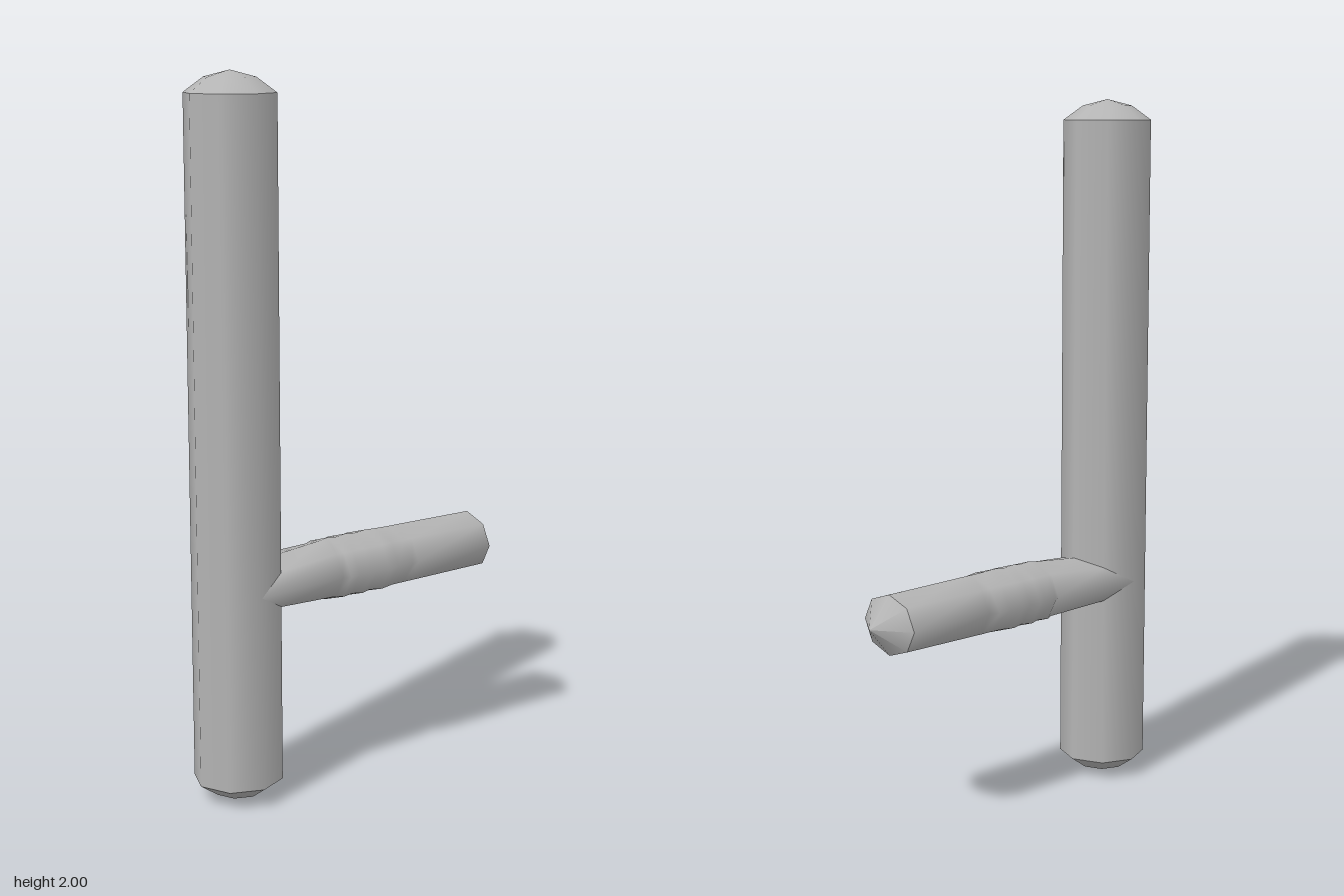
import * as THREE from 'three';

const SIDES = 8;
const SHAFT_X = -0.39;
const HANDLE_Y = 0.607;

// Skin eight-sided rings of [x, y, z] points running along +x
function loft(rings) {
  const index = [];
  for (let i = 0; i < rings.length - 1; i++) {
    for (let j = 0; j < SIDES; j++) {
      const a = i * SIDES + j, b = i * SIDES + (j + 1) % SIDES;
      index.push(a, b, a + SIDES, b, b + SIDES, a + SIDES);
    }
  }
  const geometry = new THREE.BufferGeometry();
  geometry.setAttribute('position', new THREE.Float32BufferAttribute(rings.flat(2), 3));
  geometry.setIndex(index);
  geometry.computeVertexNormals();
  return geometry;
}

// Octagonal ring; side is the reach of its two outermost z corners
function ring(x, height, depth, side = depth) {
  return Array.from({ length: SIDES }, (_, j) => {
    const a = j * Math.PI * 2 / SIDES;
    return [x, Math.cos(a) * height, Math.sin(a) * (j % 4 === 2 ? side : depth)];
  });
}

export function createModel() {
  const group = new THREE.Group();
  const grey = new THREE.MeshStandardMaterial({ color: 0xb4b4b4 });
  grey.name = 'grey';

  function add(name, geometry, x, y) {
    const mesh = new THREE.Mesh(geometry, grey);
    mesh.name = name;
    mesh.position.set(x, y, 0);
    group.add(mesh);
  }

  // Upright shaft with shallow domed ends, kept as separate smooth sections
  const sections = {
    bottomCap: [[0, 0.005], [0.07, 0.022], [0.125, 0.06]],
    shaft: [[0.125, 0.06], [0.125, 1.942]],
    topCap: [[0.125, 1.942], [0.07, 1.982], [0, 2]],
  };
  for (const [name, profile] of Object.entries(sections)) {
    const points = profile.map(([r, y]) => new THREE.Vector2(r, y));
    add(name, new THREE.LatheGeometry(points, SIDES), SHAFT_X, 0);
  }

  // Handle root wraps the near half of the shaft
  const rootX = [-0.265, -0.3, -0.39];
  const root = ring(0, 0.07, 0.125).map(([, y, z], j) => {
    const k = Math.min(j % 4, 4 - j % 4);
    return [rootX[k], y, z];
  });

  // Grip ridges: x, half height, half depth, side corner reach
  const grip = [
    [-0.1, 0.086, 0.102],
    [-0.08, 0.09, 0.113],
    [-0.045, 0.087, 0.106],
    [-0.015, 0.091, 0.116],
    [0.015, 0.087, 0.106],
    [0.055, 0.091, 0.117],
    [0.095, 0.089, 0.104, 0.108],
    [0.14, 0.088, 0.104, 0.114],
    [0.17, 0.088, 0.104],
    [0.442, 0.085, 0.103],
  ].map(row => ring(...row));
  add('handle', loft([root, ...grip]), 0, HANDLE_Y);

  // Pointed handle end
  add('handleTip', loft([ring(0.442, 0.085, 0.103), ring(0.512, 0, 0)]), 0, HANDLE_Y);

  return group;
}
